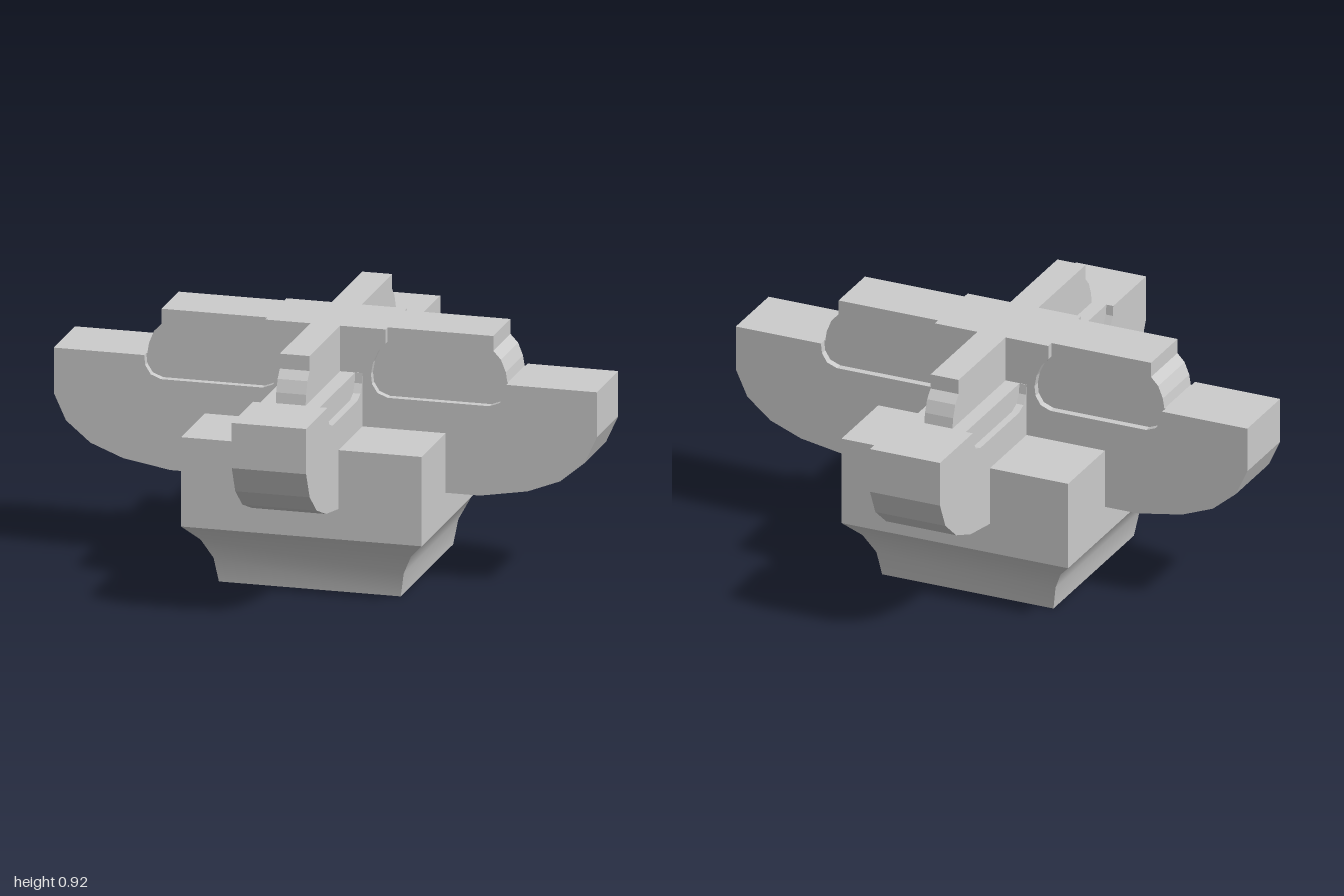
import * as THREE from 'three';
import { toCreasedNormals } from 'three/addons/utils/BufferGeometryUtils.js';

const material = new THREE.MeshStandardMaterial({ color: 0xcccccc });
const HALF = 0.137;   // half thickness of both arms
const INNER = 0.11;   // half thickness behind the carved cheeks
const LEDGE = 0.752;  // top of the arm ends
const TOP = 0.92;

// Slab whose outline is given for the +x half only, listed from the bottom up to the top centre
function slab(name, half, from, to) {
  const mirrored = half.map(([x, y]) => [-x, y]).reverse();
  const shape = new THREE.Shape([...half, ...mirrored].map(([x, y]) => new THREE.Vector2(x, y)));
  const geometry = new THREE.ExtrudeGeometry(shape, { depth: to - from, bevelEnabled: false });
  geometry.translate(0, 0, from);
  const mesh = new THREE.Mesh(geometry, material);
  mesh.name = name;
  return mesh;
}

// Curved underside of an arm, ending at the upper corner of its tip
const underside = (length) => [
  [length - 0.43, 0.335], [length - 0.255, 0.365], [length - 0.135, 0.412],
  [length - 0.045, 0.487], [length, 0.585], [length, LEDGE],
];

// Rounded end of the raised web, from the ledge up to the top edge
const webEnd = (end) => [
  [end, LEDGE], [end - 0.006, 0.79], [end - 0.024, 0.835], [end - 0.052, 0.865], [end - 0.052, TOP],
];

// Floor of the carved pocket, from its outer lip to its inner wall
const pocket = (outer, inner) => [
  [outer, LEDGE], [outer - 0.004, 0.715], [outer - 0.024, 0.683], [outer - 0.062, 0.668],
  [inner + 0.062, 0.668], [inner + 0.024, 0.683], [inner + 0.004, 0.715], [inner, LEDGE],
];

export function createModel() {
  const model = new THREE.Group();

  // Flared foot with concave sides
  const profile = [[0, 0], [0.335, 0], [0.35, 0.09], [0.387, 0.165], [0.443, 0.225]]
    .map(([r, y]) => new THREE.Vector2(r * Math.SQRT2, y));
  const footGeometry = new THREE.LatheGeometry(profile, 4, Math.PI / 4).toNonIndexed();
  const foot = new THREE.Mesh(toCreasedNormals(footGeometry, 0.7), material);
  foot.name = 'foot';
  model.add(foot);

  // Square bearing block
  const block = new THREE.Mesh(new THREE.BoxGeometry(0.886, 0.33, 0.886), material);
  block.name = 'block';
  block.position.y = 0.39;
  model.add(block);

  // Long arm: thick web with a carved cheek on each side
  const longArm = new THREE.Group();
  longArm.name = 'longArm';
  longArm.add(slab('longWeb', [...underside(1), ...webEnd(0.663)], -INNER, INNER));
  const longCheek = [
    ...underside(1), ...pocket(0.667, 0.168),
    [0.176, 0.795], [0.195, 0.838], [0.222, 0.868], [0.222, TOP],
  ];
  for (const [from, to] of [[-HALF, -INNER], [INNER, HALF]]) {
    longArm.add(slab('longCheek', longCheek, from, to));
  }
  model.add(longArm);

  // Cross arm: narrow web, flat ledges beside it, carved cheeks outside
  const crossArm = new THREE.Group();
  crossArm.name = 'crossArm';
  crossArm.add(slab('crossWeb', [...underside(0.858), ...webEnd(0.58)], -0.055, 0.055));
  const crossCheek = [...underside(0.858), ...pocket(0.585, 0.139)];
  for (const side of [-1, 1]) {
    const range = (a, b) => (side > 0 ? [a, b] : [-b, -a]);
    crossArm.add(slab('crossLedge', underside(0.858), ...range(0.055, INNER)));
    crossArm.add(slab('crossCheek', crossCheek, ...range(INNER, HALF)));
  }
  crossArm.rotation.y = Math.PI / 2;
  model.add(crossArm);

  return model;
}
